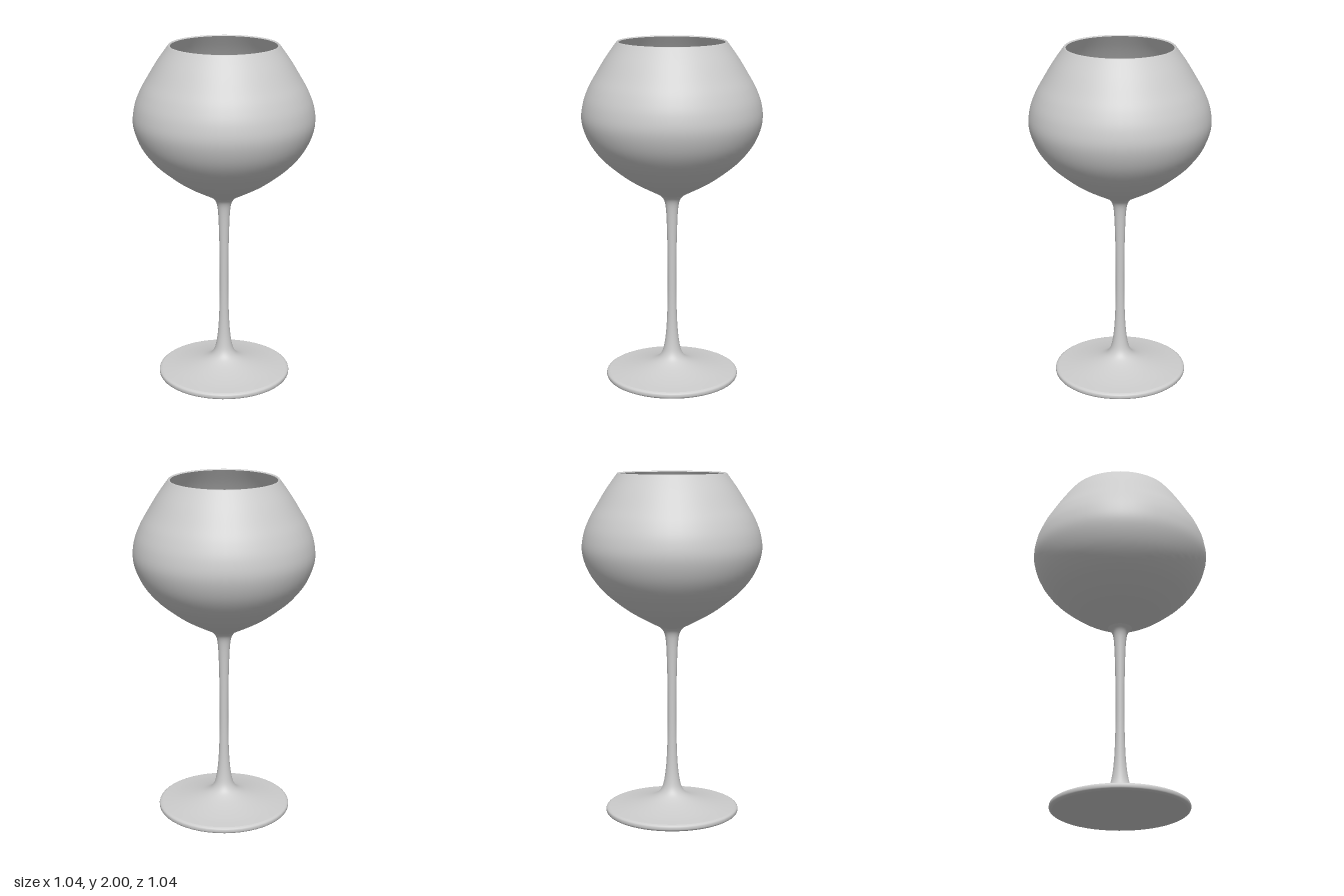
import * as THREE from 'three';

const SEGMENTS = 48;

// Smooth surface of revolution through [radius, height] points; bottom to top faces outward
function turned(name, points, samples, material) {
  const curve = new THREE.SplineCurve(points.map(([r, y]) => new THREE.Vector2(r, y)));
  const profile = curve.getPoints(samples);
  profile.forEach((p) => { p.x = Math.max(p.x, 0); });
  const mesh = new THREE.Mesh(new THREE.LatheGeometry(profile, SEGMENTS), material);
  mesh.name = name;
  return mesh;
}

export function createModel() {
  const group = new THREE.Group();
  group.name = 'wineGlass';
  const glass = new THREE.MeshStandardMaterial({ color: 0xcccccc });
  glass.name = 'pale grey glass';

  // Flat underside of the foot
  group.add(turned('footUnderside', [[0, 0.004], [0.2, 0.003], [0.375, 0]], 4, glass));

  // Rounded edge of the foot
  group.add(turned('footEdge', [[0.375, 0], [0.388, 0.008], [0.391, 0.02], [0.388, 0.032], [0.375, 0.039]], 12, glass));

  // Top of the foot flaring into the slim stem
  group.add(turned('footAndStem', [
    [0.375, 0.039], [0.29, 0.05], [0.19, 0.071], [0.11, 0.098], [0.066, 0.135],
    [0.045, 0.2], [0.032, 0.32], [0.026, 0.5], [0.026, 0.7], [0.029, 0.88],
    [0.035, 1.02], [0.046, 1.08], [0.07, 1.112],
  ], 60, glass));

  // Outside of the bowl
  group.add(turned('bowlOutside', [
    [0.07, 1.112], [0.22, 1.192], [0.32, 1.262], [0.41, 1.342], [0.48, 1.44],
    [0.516, 1.55], [0.508, 1.65], [0.475, 1.74], [0.43, 1.82], [0.375, 1.91], [0.315, 1.994],
  ], 48, glass));

  // Thin rounded lip
  group.add(turned('lip', [[0.315, 1.994], [0.309, 2], [0.301, 1.994]], 6, glass));

  // Inside of the bowl, top to bottom so it faces inward
  group.add(turned('bowlInside', [
    [0.301, 1.994], [0.36, 1.91], [0.416, 1.82], [0.46, 1.74], [0.493, 1.65],
    [0.501, 1.55], [0.466, 1.446], [0.398, 1.352], [0.31, 1.275], [0.21, 1.205],
    [0.1, 1.151], [0, 1.136],
  ], 48, glass));

  return group;
}
